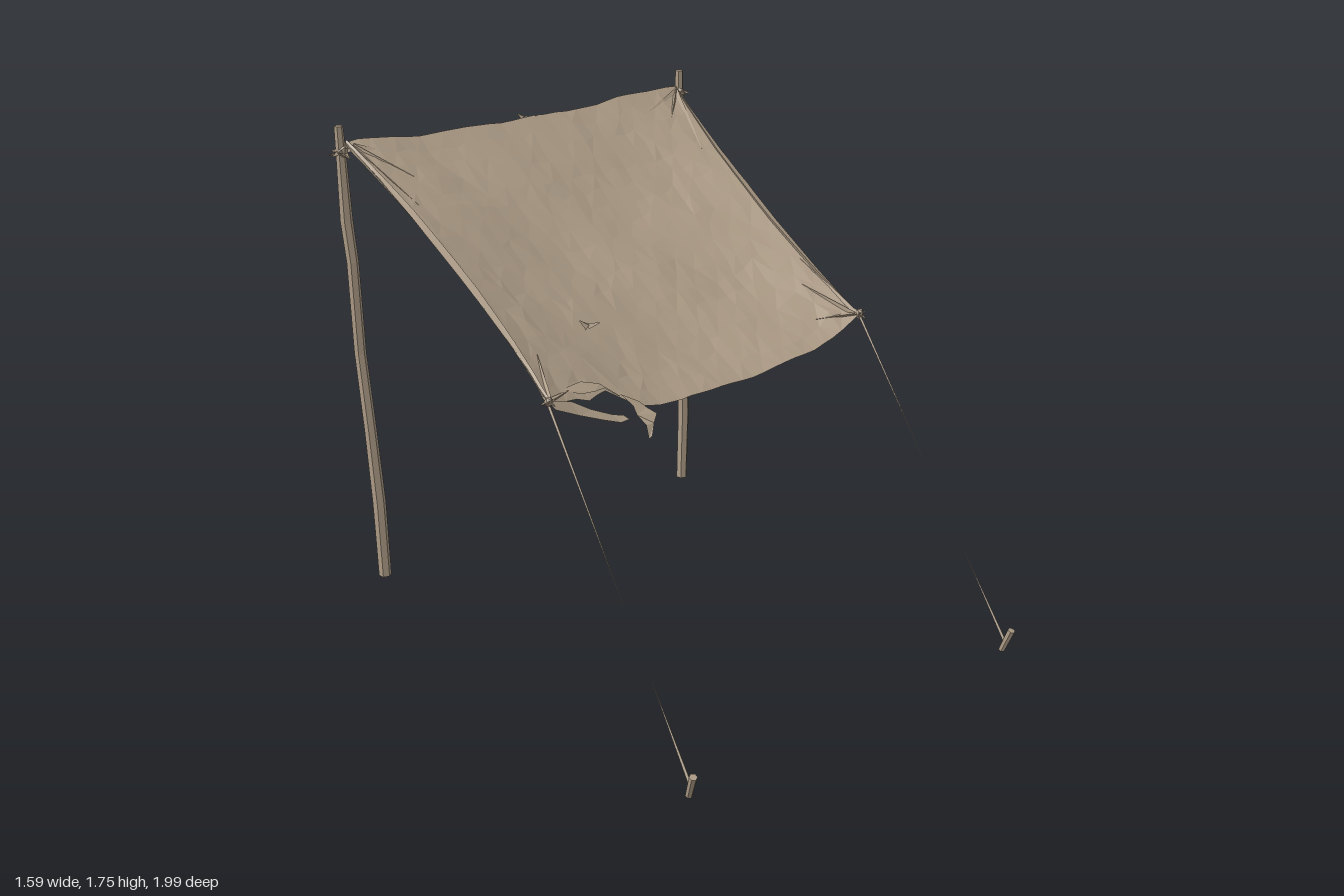
import * as THREE from 'three';

const V = (x, y, z) => new THREE.Vector3(x, y, z);
const tan = new THREE.MeshStandardMaterial({ color: 0xab9a85, flatShading: true, side: THREE.DoubleSide });
tan.name = 'weathered tan';

let seed = 7;
const rand = () => ((seed = (seed * 16807) % 2147483647) / 2147483647);

// Piecewise linear lookup through [position, value] pairs
function lookup(table, x) {
  if (x <= table[0][0]) return table[0][1];
  for (let i = 1; i < table.length; i++) {
    const [x0, y0] = table[i - 1], [x1, y1] = table[i];
    if (x <= x1) return y0 + (y1 - y0) * (x - x0) / (x1 - x0);
  }
  return table[table.length - 1][1];
}

function addMesh(parent, name, geometry) {
  const mesh = new THREE.Mesh(geometry, tan);
  mesh.name = name;
  parent.add(mesh);
  return mesh;
}

// Surface lofted through rows of points
function loft(rows, closed = false) {
  const n = rows[0].length, index = [];
  for (let j = 0; j < rows.length - 1; j++) {
    for (let i = 0; i < (closed ? n : n - 1); i++) {
      const a = j * n + i, b = j * n + (i + 1) % n, c = a + n, d = b + n;
      if ((i + j) % 2) index.push(a, c, b, b, c, d);
      else index.push(a, c, d, a, d, b);
    }
  }
  const g = new THREE.BufferGeometry().setFromPoints(rows.flat());
  g.setIndex(index);
  g.computeVertexNormals();
  return g;
}

// Tapered rod from a to b
function rod(parent, name, a, b, r0, r1, sides = 4) {
  const mesh = addMesh(parent, name, new THREE.CylinderGeometry(r1, r0, a.distanceTo(b), sides));
  mesh.position.copy(a).lerp(b, 0.5);
  mesh.quaternion.setFromUnitVectors(V(0, 1, 0), b.clone().sub(a).normalize());
  return mesh;
}

// Cloth outline: half width by depth, and the torn front hem by x
const halfWidth = [[0, 0.735], [0.12, 0.715], [0.3, 0.693], [0.6, 0.672], [0.85, 0.668], [1, 0.68]];
const hem = [[-0.68, 1], [-0.62, 0.985], [-0.56, 0.96], [-0.5, 0.97], [-0.46, 0.955], [-0.42, 0.93],
  [-0.375, 0.95], [-0.34, 1], [-0.1, 0.99], [0.1, 0.99], [0.45, 1.01], [0.68, 1]];

// Point on the sagging cloth: s runs -1..1 across, t runs 0 (back) to 1 (front)
function clothPoint(s, t) {
  const x = s * lookup(halfWidth, t);
  const sag = (0.02 + 0.115 * (1 - Math.pow(1 - Math.min(t, 1), 2.2))) * (1 - Math.pow(Math.abs(s), 2.2));
  let y = 1.685 - 0.63 * t - sag;
  const z = -0.95 + 1.15 * t + 0.012 * (1 - s * s) * (1 - t);
  // Broad creases
  const inner = 1 - Math.pow(Math.abs(s), 6);
  y += inner * (0.007 * Math.sin(7 * x + 5 * t + 1) * Math.sin(9 * t - 3 * x) + 0.004 * Math.sin(17 * x - 11 * t));
  // Pleats fanning from the corners
  const dx = 1 - Math.abs(s), dt = t < 0.5 ? t : 1 - t;
  const d = Math.hypot(dx, dt * 1.5);
  y += inner * 0.012 * Math.exp(-d * 5) * Math.cos(14 * Math.atan2(dt, dx + 0.001));
  return V(x, y, z);
}

function buildCloth() {
  const cloth = new THREE.Group();
  cloth.name = 'canopy';
  const nx = 30, nz = 18, rows = [];
  for (let j = 0; j <= nz; j++) {
    const row = [];
    for (let i = 0; i <= nx; i++) {
      const edge = i === 0 || i === nx || j === 0 || j === nz;
      const s = -1 + 2 * i / nx + (edge ? 0 : (rand() - 0.5) * 0.03);
      const t = (j / nz + (edge ? 0 : (rand() - 0.5) * 0.025)) * lookup(hem, s * 0.68);
      const p = clothPoint(s, t);
      p.y += (rand() - 0.5) * 0.005;
      row.push(p);
    }
    rows.push(row);
  }
  addMesh(cloth, 'clothSheet', loft(rows));

  // Torn strip hanging in front of the hole, and its drooping flap
  addMesh(cloth, 'tornStrip', loft([
    [V(-0.68, 1.06, 0.19), V(-0.66, 1.03, 0.21)],
    [V(-0.58, 1.03, 0.18), V(-0.58, 0.995, 0.225)],
    [V(-0.52, 0.995, 0.205), V(-0.5, 0.965, 0.245)],
    [V(-0.45, 0.965, 0.225), V(-0.44, 0.945, 0.26)],
    [V(-0.41, 0.955, 0.235), V(-0.4, 0.945, 0.255)],
  ]));
  addMesh(cloth, 'tornFlap', loft([
    [V(-0.375, 1.0, 0.17), V(-0.32, 0.97, 0.2)],
    [V(-0.36, 0.97, 0.22), V(-0.31, 0.955, 0.23)],
    [V(-0.375, 0.955, 0.26), V(-0.3, 0.945, 0.27)],
    [V(-0.36, 0.925, 0.29), V(-0.335, 0.93, 0.3)],
    [V(-0.36, 0.88, 0.305), V(-0.35, 0.89, 0.31)],
  ]));
  addMesh(cloth, 'tornShred', loft([
    [V(-0.58, 1.05, 0.12), V(-0.52, 1.03, 0.15)],
    [V(-0.5, 1.06, 0.12), V(-0.47, 1.03, 0.16)],
    [V(-0.44, 1.045, 0.14), V(-0.43, 1.03, 0.155)],
    [V(-0.385, 1.0, 0.18), V(-0.39, 1.0, 0.185)],
  ]));

  // Small ragged tufts on the sheet and the back edge
  for (const p of [V(-0.31, 1.145, -0.1), V(0.02, 1.655, -0.95)]) {
    rod(cloth, 'tuft', p, p.clone().add(V(-0.02, 0.02, -0.022)), 0.014, 0.002, 3);
    rod(cloth, 'tuft', p, p.clone().add(V(0.035, 0.012, 0.02)), 0.012, 0.001, 3);
  }

  // Gathered folds running from the corners, and the rolled side edges
  for (const side of [-1, 1]) {
    const folds = [[0.98, 0.02, 0.8, 0.15], [0.98, 0.02, 0.9, 0.26], [0.98, 0.02, 0.66, 0.09],
      [0.98, 0.99, 0.87, 0.82], [0.98, 0.99, 0.8, 0.93], [0.99, 0.99, 0.96, 0.75]];
    for (const [s0, t0, s1, t1] of folds) {
      const a = clothPoint(side * s0, t0), b = clothPoint(side * s1, t1);
      rod(cloth, 'pleat', a, b, 0.011, 0.001, 3);
    }
    const rolled = [];
    for (let k = 0; k <= 10; k++) {
      const t = k / 10, p = clothPoint(side, t), w = 0.006 + 0.02 * Math.sin(Math.PI * t);
      rolled.push([p.clone(), p.clone().add(V(-side * w, 0.007, 0)), p.clone().add(V(-side * w * 0.6, -0.02, 0))]);
    }
    addMesh(cloth, 'rolledEdge', loft(rolled, true));
  }
  return cloth;
}

// Knot with stray pointed ends
function buildKnot(center, core, reach, count) {
  const knot = new THREE.Group();
  knot.name = 'knot';
  addMesh(knot, 'knotCore', new THREE.IcosahedronGeometry(core, 0)).scale.y = 1.2;
  for (let k = 0; k < count; k++) {
    const a = 2 * Math.PI * (k + 0.3 * rand()) / count;
    const tip = V(Math.cos(a) * reach, (rand() - 0.55) * reach * 1.8, Math.sin(a) * reach);
    rod(knot, 'knotEnd', V(0, 0, 0), tip, core * 0.6, 0.001, 3);
  }
  knot.position.copy(center);
  return knot;
}

// Crooked pole through [x, y, z, radius] stations
function buildPole(stations) {
  const rows = stations.map(([x, y, z, r]) => Array.from({ length: 6 }, (_, i) => {
    const a = i * Math.PI / 3 + 0.3;
    return V(x + Math.cos(a) * r, y, z + Math.sin(a) * r);
  }));
  const ring = ([x, y, z]) => Array.from({ length: 6 }, () => V(x, y, z));
  return loft([ring(stations[0]), ...rows, ring(stations[stations.length - 1])], true);
}

export function createModel() {
  const model = new THREE.Group();
  model.name = 'leanToShelter';
  model.add(buildCloth());

  // Back poles
  addMesh(model, 'rightPole', buildPole([
    [-0.73, 0, -0.89, 0.024], [-0.728, 0.3, -0.9, 0.025], [-0.735, 0.6, -0.915, 0.023], [-0.742, 0.9, -0.938, 0.022],
    [-0.745, 1.25, -0.94, 0.022], [-0.752, 1.4, -0.95, 0.023], [-0.755, 1.66, -0.95, 0.018], [-0.757, 1.745, -0.95, 0.016]]));
  addMesh(model, 'leftPole', buildPole([
    [0.72, 0, -0.89, 0.023], [0.738, 0.3, -0.9, 0.024], [0.738, 0.6, -0.915, 0.022], [0.73, 0.9, -0.938, 0.022],
    [0.737, 1.2, -0.94, 0.022], [0.75, 1.35, -0.945, 0.023], [0.752, 1.66, -0.95, 0.018], [0.754, 1.745, -0.95, 0.016]]));

  for (const side of [-1, 1]) {
    // Corner lashings
    model.add(buildKnot(V(side * 0.75, 1.655, -0.95), 0.027, 0.046, 9));
    model.add(buildKnot(V(side * 0.68, 1.06, 0.2), 0.016, 0.028, 6));

    // Guy rope, worn to a point on both sides of its break
    const top = V(side * 0.68, 1.05, 0.2), foot = V(side * 0.708, 0.04, 0.965);
    const at = t => top.clone().lerp(foot, t);
    rod(model, 'upperGuyRope', top, at(side < 0 ? 0.54 : 0.45), 0.006, 0.0006);
    rod(model, 'lowerGuyRope', foot, at(0.73), 0.007, 0.0006);

    // Ground peg
    rod(model, 'peg', V(side * 0.708, 0, 0.955), V(side * 0.716, 0.088, 0.986), 0.012, 0.014, 6);
  }
  return model;
}
